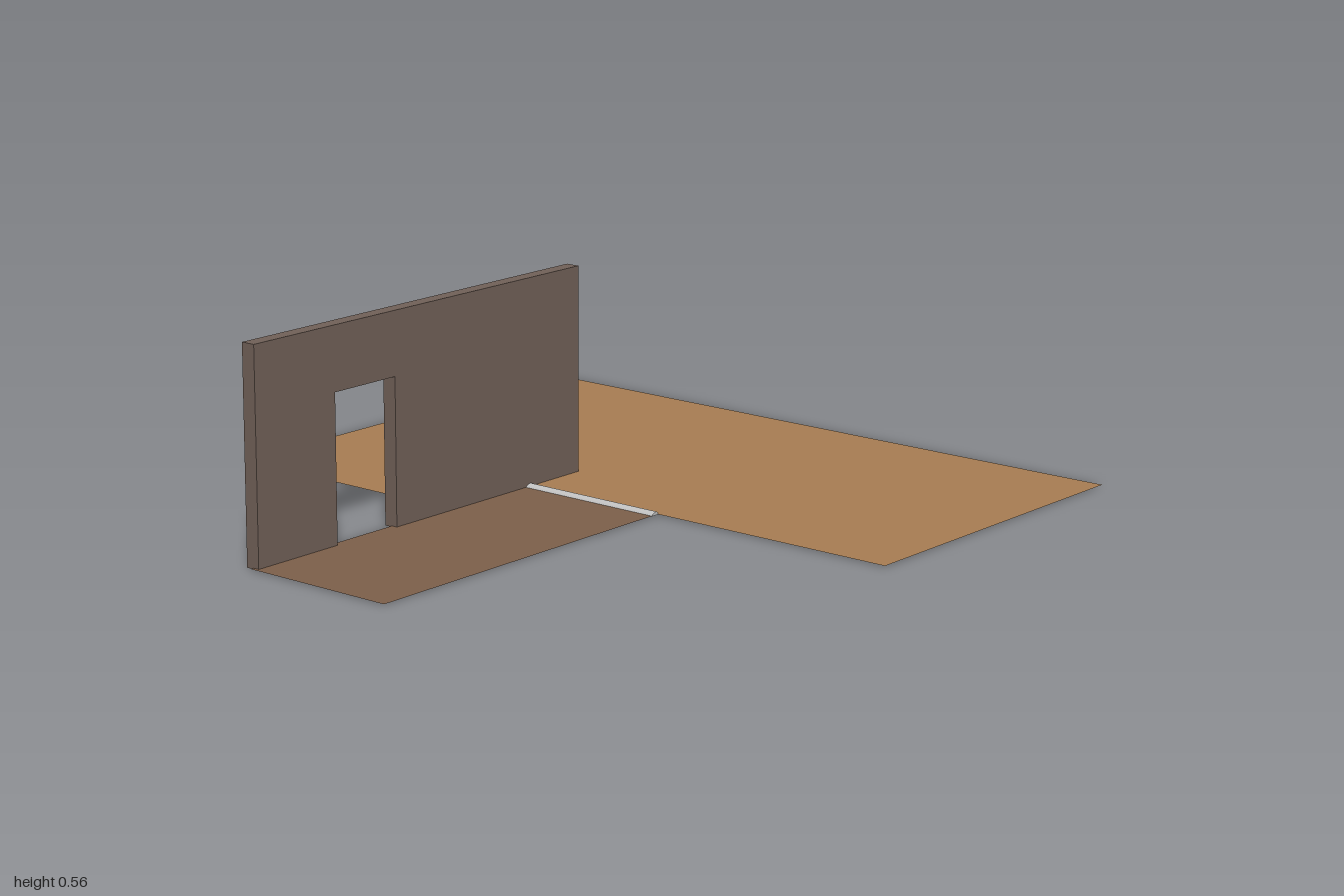
import * as THREE from 'three';

const mat = (name, color) => {
  const m = new THREE.MeshStandardMaterial({ color, side: THREE.DoubleSide });
  m.name = name;
  return m;
};

export function createModel() {
  const group = new THREE.Group();
  const roomWood = mat('light wood', 0xa67c52);
  const hallWood = mat('dark wood', 0x7c5f49);
  const plaster = mat('brown plaster', 0x706057);
  const metal = mat('threshold metal', 0xc0c0c0);

  const add = (name, geometry, material, parent = group) => {
    const mesh = new THREE.Mesh(geometry, material);
    mesh.name = name;
    parent.add(mesh);
    return mesh;
  };
  const shapeOf = (pts) => new THREE.Shape(pts.map(([x, y]) => new THREE.Vector2(x, y)));

  // Flat floor sheet from [x, z] corners
  const floor = (name, corners, material) => {
    const g = new THREE.ShapeGeometry(shapeOf(corners.map(([x, z]) => [x, -z])));
    g.rotateX(-Math.PI / 2);
    add(name, g, material).position.y = 0.003;
  };
  floor('roomFloor', [
    [-0.95, 0.29], [-0.23, 0.29], [-0.23, -0.02], [0.95, -0.02], [0.95, -1], [-0.95, -1],
  ], roomWood);
  floor('hallFloor', [[-0.21, 1], [0.235, 1], [0.235, -0.02], [-0.21, -0.02]], hallWood);

  // Wall with a doorway, drawn along its length and turned to run along z
  const thickness = 0.04;
  const wall = new THREE.Group();
  wall.name = 'wall';
  wall.position.x = -0.233;
  wall.rotation.y = Math.PI / 2;
  group.add(wall);
  const outline = [
    [-0.99, 0], [-0.715, 0], [-0.715, 0.395], [-0.5, 0.395],
    [-0.5, 0], [0.21, 0], [0.21, 0.565], [-0.99, 0.565],
  ];
  add('wallHallFace', new THREE.ShapeGeometry(shapeOf(outline)), plaster, wall).position.z = thickness;

  // Ends, top, base and door reveals
  const rim = [];
  outline.forEach(([ax, ay], i) => {
    const [bx, by] = outline[(i + 1) % outline.length];
    rim.push(ax, ay, 0, bx, by, 0, bx, by, thickness);
    rim.push(ax, ay, 0, bx, by, thickness, ax, ay, thickness);
  });
  const rimGeometry = new THREE.BufferGeometry();
  rimGeometry.setAttribute('position', new THREE.Float32BufferAttribute(rim, 3));
  rimGeometry.computeVertexNormals();
  add('wallEdges', rimGeometry, plaster, wall);

  // Room side is skinned only beside the room floor; the rest stays open
  const skin = new THREE.PlaneGeometry(0.5, 0.565);
  skin.rotateY(Math.PI);
  add('wallRoomFace', skin, plaster, wall).position.set(-0.04, 0.2825, 0);

  // Bevelled strip where the two floors meet
  const strip = new THREE.ExtrudeGeometry(
    shapeOf([[-0.005, 0.002], [0.022, 0.002], [0.02, 0.008], [0.015, 0.011], [0.009, 0.011], [0.0, 0.007]]),
    { depth: 0.43, bevelEnabled: false });
  strip.rotateY(Math.PI / 2);
  add('threshold', strip, metal).position.x = -0.195;

  return group;
}
